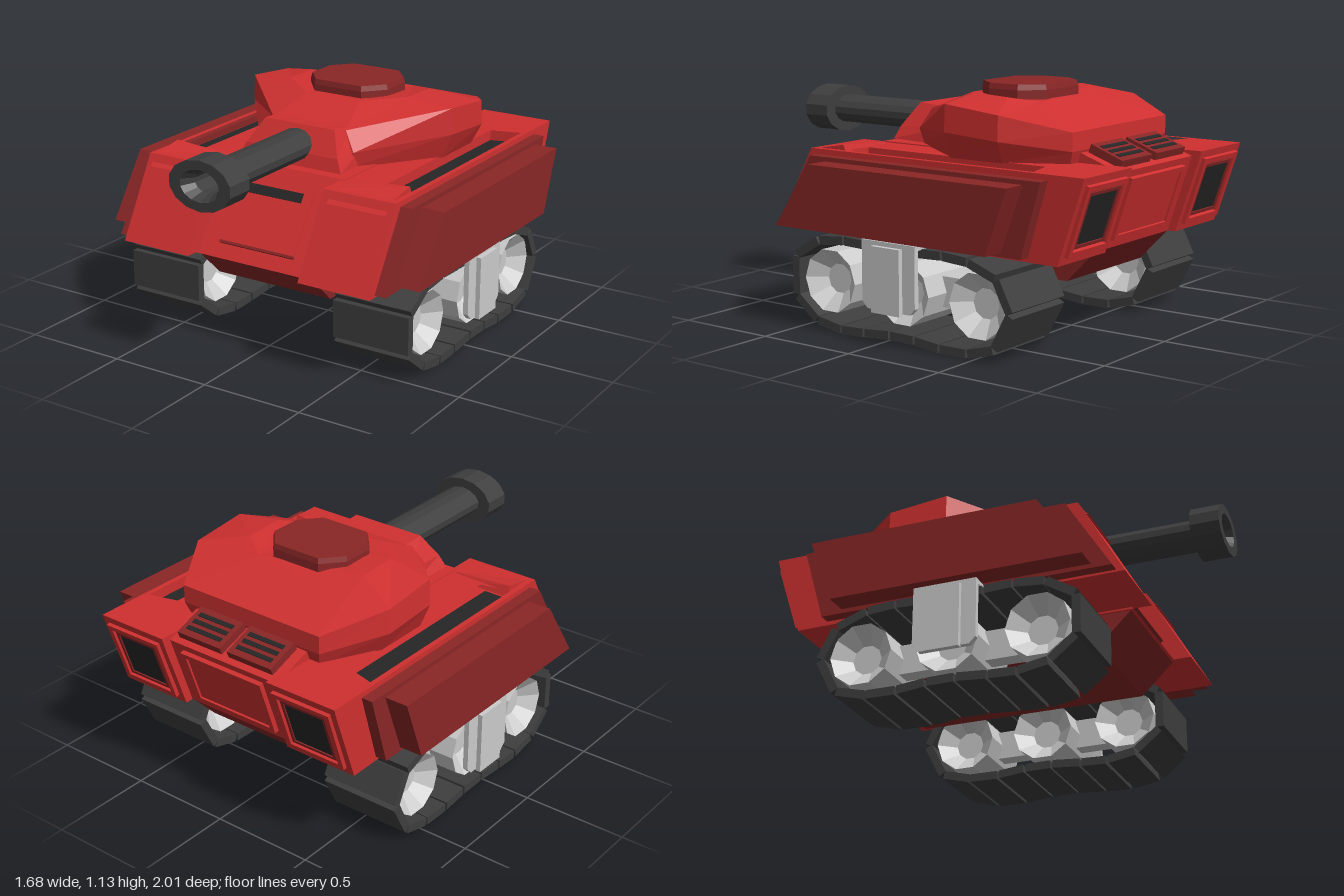
import * as THREE from 'three';

const mat = (color) => new THREE.MeshStandardMaterial({ color, flatShading: true });
const V2 = (p) => new THREE.Vector2(p[0], p[1]);

export function createModel() {
  const red = mat(0xd03030), darkRed = mat(0x8a2626), rubber = mat(0x3e3e3e);
  const black = mat(0x262626), grey = mat(0xcccccc);
  const model = new THREE.Group();

  function add(name, geometry, material, parent = model) {
    const mesh = new THREE.Mesh(geometry, material);
    mesh.name = name;
    parent.add(mesh);
    return mesh;
  }

  function group(name) {
    const g = new THREE.Group();
    g.name = name;
    model.add(g);
    return g;
  }

  // Side profile of [z, y] points stretched between two x positions
  function slab(profile, xa, xb) {
    const g = new THREE.ExtrudeGeometry(new THREE.Shape(profile.map(V2)), { depth: Math.abs(xb - xa), bevelEnabled: false });
    return g.rotateY(-Math.PI / 2).translate(Math.max(xa, xb), 0, 0);
  }

  // Box turned about x, for panels lying on sloped faces
  function plate(name, [w, h, d], [x, y, z], tilt, material, parent) {
    const m = add(name, new THREE.BoxGeometry(w, h, d), material, parent);
    m.position.set(x, y, z);
    m.rotation.x = tilt;
    return m;
  }

  // Rectangular frame with an opening
  function frame(w, h, border, depth) {
    const rect = (a, b) => [[-a, -b], [a, -b], [a, b], [-a, b]].map(V2);
    const s = new THREE.Shape(rect(w / 2, h / 2));
    s.holes.push(new THREE.Path(rect(w / 2 - border, h / 2 - border)));
    return new THREE.ExtrudeGeometry(s, { depth, bevelEnabled: false });
  }

  // Closed skin over mirrored rings; each ring lists its +x half from rear to front
  function loft(halves) {
    const rings = halves.map((h) => [...h, ...[...h].reverse().map(([x, y, z]) => [-x, y, z])]);
    const n = rings[0].length, index = [];
    for (let r = 0; r < rings.length - 1; r++) {
      for (let i = 0; i < n; i++) {
        const a = r * n + i, b = r * n + (i + 1) % n;
        index.push(a, a + n, b, b, a + n, b + n);
      }
    }
    const top = (rings.length - 1) * n;
    for (let i = 1; i < n - 1; i++) index.push(0, i, i + 1, top, top + i + 1, top + i);
    const g = new THREE.BufferGeometry();
    g.setAttribute('position', new THREE.Float32BufferAttribute(rings.flat(2), 3));
    g.setIndex(index);
    const flat = g.toNonIndexed();
    flat.computeVertexNormals();
    return flat;
  }

  // Central hull and belly
  add('hull', slab([[0.63, 0.44], [0.36, 0.83], [-0.6, 0.83], [-0.72, 0.88], [-0.95, 0.8], [-0.83, 0.44]], -0.32, 0.32), red);
  add('belly', slab([[0.62, 0.445], [0.46, 0.29], [-0.68, 0.29], [-0.83, 0.445]], -0.31, 0.31), darkRed);

  // Front hatch panel with vision slot
  const nose = -0.605;
  plate('frontPanel', [0.4, 0.31, 0.02], [0, 0.635, 0.498], nose, red);
  plate('visionSlot', [0.3, 0.045, 0.02], [0, 0.73, 0.438], nose, black);
  plate('frontPanelSill', [0.4, 0.012, 0.03], [0, 0.505, 0.59], nose, darkRed);

  // Rear panel
  const tail = Math.PI - 0.32;
  plate('rearPanel', [0.46, 0.3, 0.02], [0, 0.625, -0.895], tail, red);
  const rearFrame = add('rearPanelFrame', frame(0.46, 0.3, 0.025, 0.015), red);
  rearFrame.position.set(0, 0.625, -0.9);
  rearFrame.rotation.x = tail;

  for (const s of [1, -1]) {
    const side = s > 0 ? 'left' : 'right';

    // Engine grille
    const grille = group(side + 'EngineGrille');
    grille.position.set(0.145 * s, 0.855, -0.845);
    grille.rotation.x = -0.36;
    plate('grilleBox', [0.25, 0.04, 0.17], [0, 0, 0], 0, darkRed, grille);
    for (let i = -1; i <= 1; i++) plate('grilleSlot', [0.2, 0.01, 0.022], [0, 0.018, i * 0.042], 0, black, grille);

    // Side pod: body, top deck with a long opening, and dark floor in it
    const pod = group(side + 'Pod');
    add('podBody', slab([[0.71, 0.45], [0.53, 0.77], [-0.983, 0.77], [-0.87, 0.44]], 0.3 * s, 0.67 * s), red, pod);
    const deckShape = new THREE.Shape([[0.3, -1], [0.67, -1], [0.67, 0.5], [0.3, 0.5]].map(([x, z]) => V2([x * s, z])));
    deckShape.holes.push(new THREE.Path([[0.5, -0.69], [0.645, -0.73], [0.645, 0.33], [0.5, 0.3]].map(([x, z]) => V2([x * s, z]))));
    const deck = new THREE.ExtrudeGeometry(deckShape, { depth: 0.055, bevelEnabled: false }).rotateX(Math.PI / 2).translate(0, 0.825, 0);
    const p = deck.attributes.position;
    for (let i = 0; i < p.count; i++) {
      if (p.getY(i) > 0.8) continue;
      if (p.getZ(i) > 0.45) p.setZ(i, 0.53);
      if (p.getZ(i) < -0.9) p.setZ(i, -0.983);
    }
    deck.computeVertexNormals();
    add('podDeck', deck, red, pod);
    plate('deckOpening', [0.15, 0.02, 1.08], [0.573 * s, 0.765, -0.2], 0, black, pod);

    // Raised hood over the front corner, higher on its outer side
    const hood = slab([[0.54, 0.775], [0.47, 0.825], [0.33, 0.85], [0.31, 0.8]], 0.34 * s, 0.64 * s);
    const hp = hood.attributes.position;
    for (let i = 0; i < hp.count; i++) if (Math.abs(hp.getX(i)) < 0.5 && hp.getY(i) > 0.84) hp.setY(i, 0.83);
    hood.computeVertexNormals();
    add('frontHood', hood, red, pod);

    // Framed rear vent
    const vent = new THREE.Group();
    vent.name = 'rearVent';
    vent.position.set(0.485 * s, 0.635, -0.935);
    vent.rotation.x = tail;
    pod.add(vent);
    plate('ventCore', [0.25, 0.27, 0.01], [0, 0, 0.002], 0, black, vent);
    add('ventOuterFrame', frame(0.31, 0.33, 0.025, 0.02), red, vent);
    add('ventInnerFrame', frame(0.24, 0.26, 0.015, 0.013), darkRed, vent);

    // Stepped side armour
    add('innerSkirt', slab([[0.67, 0.46], [0.46, 0.8], [-0.82, 0.8], [-0.72, 0.46]], 0.66 * s, 0.725 * s), darkRed, pod);
    add('outerSkirt', slab([[0.575, 0.48], [0.37, 0.78], [-0.73, 0.78], [-0.62, 0.48]], 0.72 * s, 0.838 * s), darkRed, pod);

    // Track links, one box per span of the loop
    const track = group(side + 'Track');
    const loop = [[0.52, 0.335], [0.52, 0.145], [0.395, 0.045], [0.25, 0.02], [0.115, 0.025], [-0.035, 0.037],
      [-0.175, 0.035], [-0.315, 0.02], [-0.465, 0.022], [-0.61, 0.06], [-0.695, 0.225], [-0.62, 0.37], [-0.47, 0.425],
      [-0.33, 0.435], [-0.19, 0.43], [-0.05, 0.43], [0.09, 0.43], [0.23, 0.435], [0.38, 0.42]];
    loop.forEach(([z, y], i) => {
      const [z2, y2] = loop[(i + 1) % loop.length];
      const length = Math.hypot(z2 - z, y2 - y) - 0.012;
      plate('trackLink', [0.39, 0.04, length], [0.57 * s, (y + y2) / 2, (z + z2) / 2], -Math.atan2(y2 - y, z2 - z), rubber, track);
    });

    // Dished wheels and the beam joining them
    const dish = [[0, -0.1], [0.07, -0.1], [0.15, -0.17], [0.15, 0.17], [0.07, 0.1], [0, 0.1]].map(V2);
    for (const z of [0.335, -0.09, -0.505]) {
      const wheel = add('wheel', new THREE.LatheGeometry(dish, 10).rotateZ(Math.PI / 2), grey, track);
      wheel.position.set(0.57 * s, 0.232, z);
    }
    plate('wheelBeam', [0.08, 0.14, 0.8], [0.57 * s, 0.235, -0.085], 0, grey, track);

    // Suspension bracket hanging over the track
    const bracket = group(side + 'Bracket');
    plate('bracketArm', [0.35, 0.02, 0.3], [0.63 * s, 0.458, -0.07], 0, grey, bracket);
    add('bracketPlate', slab([[0.08, 0.47], [0.08, 0.19], [0.05, 0.16], [-0.19, 0.16], [-0.22, 0.19], [-0.22, 0.47]], 0.785 * s, 0.81 * s), grey, bracket);
    plate('bracketRib', [0.025, 0.3, 0.16], [0.82 * s, 0.3, -0.07], 0, grey, bracket);
  }

  // Faceted turret
  add('turret', loft([
    [[0.37, 0.81, -0.73], [0.51, 0.82, -0.47], [0.51, 0.82, -0.19], [0.23, 0.82, 0.2]],
    [[0.39, 0.88, -0.755], [0.56, 0.92, -0.48], [0.56, 0.94, -0.19], [0.26, 0.9, 0.19]],
    [[0.39, 0.965, -0.755], [0.555, 1.035, -0.48], [0.555, 1.065, -0.19], [0.2, 0.99, 0.16]],
    [[0.2, 1.06, -0.46], [0.33, 1.085, -0.37], [0.33, 1.09, -0.17], [0.15, 1.075, -0.04]],
  ]), red);
  add('gunCollar', loft([
    [[0.26, 0.83, 0.1], [0.28, 0.84, 0.33]],
    [[0.25, 0.9, 0.1], [0.25, 0.9, 0.31]],
    [[0.19, 1, 0.1], [0.19, 1.01, 0.24]],
  ]), red);

  // Roof hatch
  const hatchRing = (y, k) => [[0.13, -0.44], [0.215, -0.34], [0.215, -0.18], [0.13, -0.08]].map(([x, z]) => [x * k, y, -0.26 + (z + 0.26) * k]);
  add('roofHatch', loft([hatchRing(1.05, 1), hatchRing(1.105, 1), hatchRing(1.13, 0.97)]), darkRed);

  // Hollow, flattened gun barrel with a heavy muzzle
  const bore = [[0.1, 0.2], [0.1, 0.86], [0.165, 0.86], [0.165, 1], [0.105, 1], [0.07, 0.94], [0.07, 0.2]].map(V2);
  const gun = add('gunBarrel', new THREE.LatheGeometry(bore, 14).rotateX(Math.PI / 2).scale(1, 0.7, 1), rubber);
  gun.position.y = 0.922;

  return model;
}
